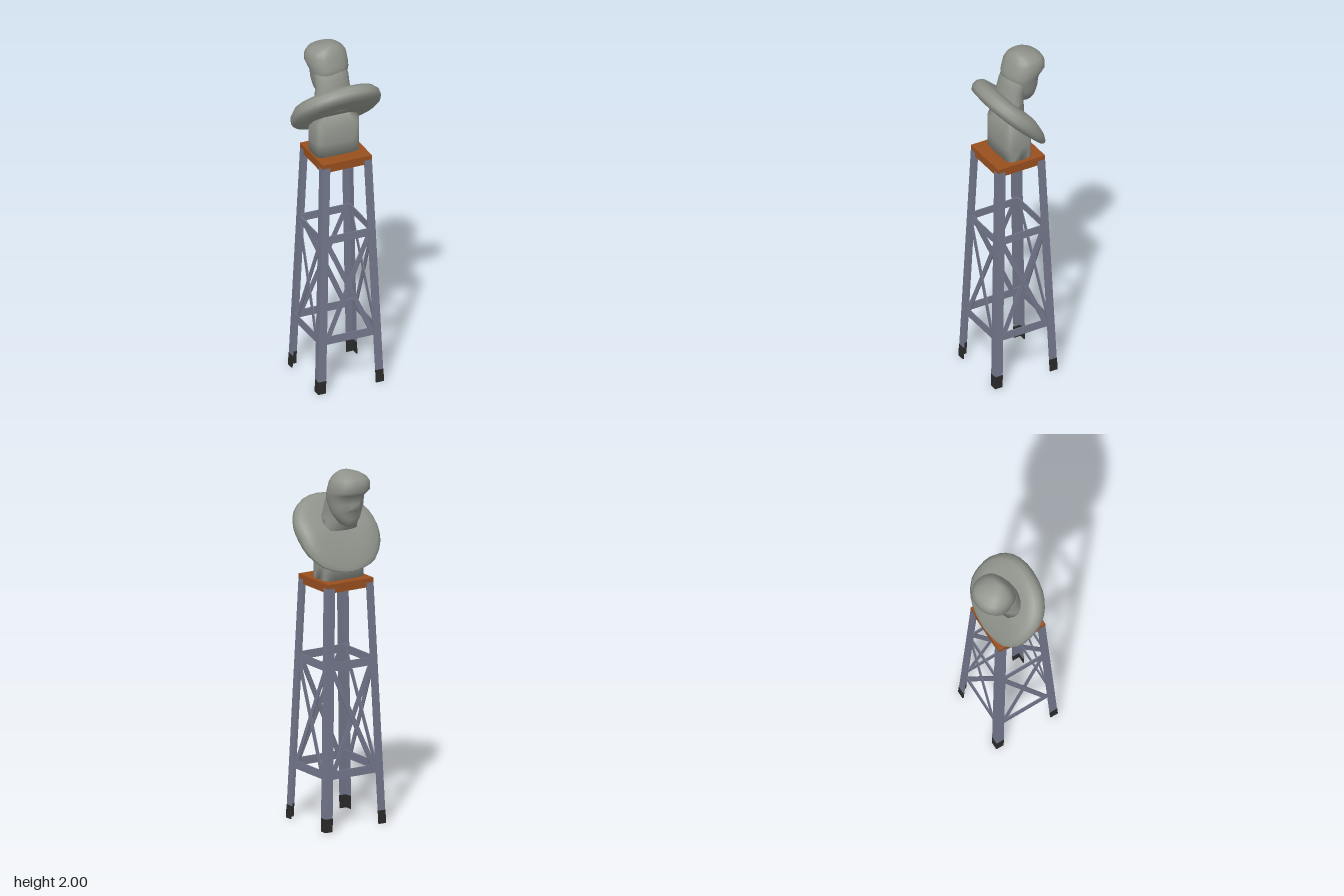
import * as THREE from 'three';

const V = (x, y, z) => new THREE.Vector3(x, y, z);
const mat = (name, color) => {
  const m = new THREE.MeshStandardMaterial({ color });
  m.name = name;
  return m;
};

// Closed skin over a stack of rings (counter-clockwise seen from the last ring)
function loft(rings, flat = false) {
  const n = rings[0].length, pos = [], idx = [];
  rings.forEach(r => r.forEach(p => pos.push(p.x, p.y, p.z)));
  for (let j = 0; j < rings.length - 1; j++)
    for (let i = 0; i < n; i++) {
      const a = j * n + i, b = j * n + (i + 1) % n;
      idx.push(a, b, b + n, a, b + n, a + n);
    }
  const top = (rings.length - 1) * n;
  for (let i = 1; i < n - 1; i++) idx.push(0, i + 1, i, top, top + i, top + i + 1);
  let g = new THREE.BufferGeometry();
  g.setAttribute('position', new THREE.Float32BufferAttribute(pos, 3));
  g.setIndex(idx);
  if (flat) g = g.toNonIndexed();
  g.computeVertexNormals();
  return g;
}

// Horizontal rounded ring; e < 1 makes it boxier
function ring(n, y, cx, hw, back, front, e = 1) {
  const cz = (back + front) / 2, hz = (back - front) / 2;
  const pw = t => Math.sign(t) * Math.pow(Math.abs(t), e);
  return Array.from({ length: n }, (_, i) => {
    const a = i / n * Math.PI * 2;
    return V(cx + hw * pw(Math.cos(a)), y, cz - hz * pw(Math.sin(a)));
  });
}

export function createModel() {
  const model = new THREE.Group();
  const steel = mat('steel', 0x74788c), rubber = mat('rubber', 0x2b2b2b);
  const wood = mat('wood', 0x99501f), stone = mat('stone', 0x8f938b);
  const add = (parent, name, geo, m, x = 0, y = 0, z = 0) => {
    const o = new THREE.Mesh(geo, m);
    o.name = name;
    o.position.set(x, y, z);
    parent.add(o);
    return o;
  };

  // Stand: four tapering angle-iron legs with braced faces
  const stand = new THREE.Group();
  stand.name = 'stand';
  stand.position.z = 0.015;
  model.add(stand);
  const SLOPE = 0.036, half = y => 0.197 - SLOPE * y;
  const angleRing = (y, grow) => {
    const h = half(y) + grow, w = 0.046 + grow, t = 0.006 + grow;
    return [[h, h], [h, h - w], [h - t, h - w], [h - t, h - t], [h - w, h - t], [h - w, h]]
      .map(([x, z]) => V(x, y, z));
  };
  const legGeo = loft([angleRing(0.075, 0), angleRing(1.36, 0)], true);
  const footGeo = loft([angleRing(0, 0.001), angleRing(0.075, 0.001)], true);
  for (let k = 0; k < 4; k++) {
    const side = new THREE.Group();
    side.name = 'standSide';
    side.rotation.y = k * Math.PI / 2;
    stand.add(side);
    add(side, 'leg', legGeo, steel);
    add(side, 'foot', footGeo, rubber);
    const face = new THREE.Group();
    face.name = 'bracing';
    face.position.z = 0.187;
    face.rotation.x = -Math.atan(SLOPE);
    side.add(face);
    for (const y of [0.312, 0.918])
      add(face, 'crossRail', new THREE.BoxGeometry(2 * half(y) - 0.024, 0.046, 0.006), steel, 0, y, 0);
    for (const s of [-1, 1]) {
      const dx = 0.265, dy = 0.6;
      add(face, 'diagonalBrace', new THREE.BoxGeometry(0.028, Math.hypot(dx, dy), 0.005), steel, 0, 0.615, s * 0.0028)
        .rotation.z = s * Math.atan2(dx, dy);
    }
    add(side, 'seatRim', new THREE.BoxGeometry(0.296, 0.05, 0.01), wood, 0, 1.36, 0.143);
  }
  add(stand, 'seatTop', new THREE.BoxGeometry(0.29, 0.014, 0.29), wood, 0, 1.378, 0);

  // Bust, facing the back of the stand
  const bust = new THREE.Group();
  bust.name = 'bust';
  model.add(bust);

  // Column under the chest, its top cut to follow the chest slope
  const plan = (y, s) => ring(24, y, -0.008, 0.13 * s, 0.085 * s, -0.08 * s, 0.4);
  const sloped = (s, drop) => plan(0, s).map(p => V(p.x, (p.z > 0.04 ? 1.64 - p.z : 1.585 + p.z * 0.6) - drop, p.z));
  add(bust, 'column', loft([plan(1.385, 1), plan(1.46, 1), sloped(1, 0), sloped(0.5, -0.02)]), stone);

  // Chest and shoulders: a slab leaning 45 degrees, thinning to a tip at the breast
  const outline = new THREE.CatmullRomCurve3([
    [0.25, 0.0], [0.235, 0.1], [0.17, 0.19], [0.08, 0.228], [0, 0.24], [-0.08, 0.228],
    [-0.17, 0.19], [-0.235, 0.1], [-0.25, 0.0], [-0.235, -0.1], [-0.185, -0.175],
    [-0.1, -0.23], [0.03, -0.25], [0.13, -0.23], [0.205, -0.17], [0.245, -0.09],
  ].map(([x, v]) => V(x, v, 0)), true).getPoints(32).slice(0, 32);
  const slab = [[-0.012, 0.35], [-0.01, 0.75], [0, 0.95], [0.025, 1], [0.055, 0.99], [0.08, 0.9], [0.09, 0.7], [0.086, 0.4], [0.084, 0.15]];
  add(bust, 'chestAndShoulders', loft(slab.map(([h, s]) => outline.map(p => {
    const v = p.y * s, k = Math.SQRT1_2;
    const t = h * (1 - 0.88 * Math.pow(Math.max(0, v / 0.245), 1.3));
    return V(p.x * s, 1.61 - k * v + k * t, 0.025 - k * v - k * t);
  }))), stone);

  // Neck
  add(bust, 'neck', loft([
    [1.66, 0.12, 0.1, -0.07], [1.73, 0.107, 0.07, -0.065], [1.78, 0.1, 0.056, -0.07],
    [1.83, 0.1, 0.044, -0.09], [1.88, 0.09, 0.02, -0.1],
  ].map(([y, w, b, f]) => ring(16, y, -0.012, w, b, f))), stone);

  // Head: height, half width, back z, front z, forward push of the face's middle line
  const head = new THREE.Group();
  head.name = 'head';
  head.position.set(-0.012, 0, -0.08);
  head.rotation.y = 0.2;
  bust.add(head);
  add(head, 'skullAndFace', loft([
    [1.69, 0.025, -0.07, -0.112, 0], [1.705, 0.05, -0.04, -0.13, 0], [1.735, 0.073, -0.025, -0.137, 0.004],
    [1.755, 0.084, -0.01, -0.138, 0.002], [1.77, 0.09, 0, -0.142, 0.008], [1.785, 0.094, 0.008, -0.147, 0.004],
    [1.8, 0.098, 0.014, -0.15, 0.026], [1.83, 0.103, 0.025, -0.152, 0.02], [1.86, 0.108, 0.03, -0.155, 0.012],
    [1.88, 0.112, 0.028, -0.178, 0.008], [1.9, 0.115, 0.022, -0.2, 0.003], [1.94, 0.113, 0.008, -0.196, 0],
    [1.965, 0.097, -0.005, -0.182, 0], [1.985, 0.07, -0.02, -0.145, 0], [1.996, 0.037, -0.033, -0.1, 0],
    [2.0, 0.01, -0.045, -0.068, 0],
  ].map(([y, w, b, f, nose]) => {
    const r = ring(20, y, 0, w, b + 0.08, f + 0.08, 0.85);
    r[5].z -= nose;
    return r;
  })), stone);

  return model;
}
